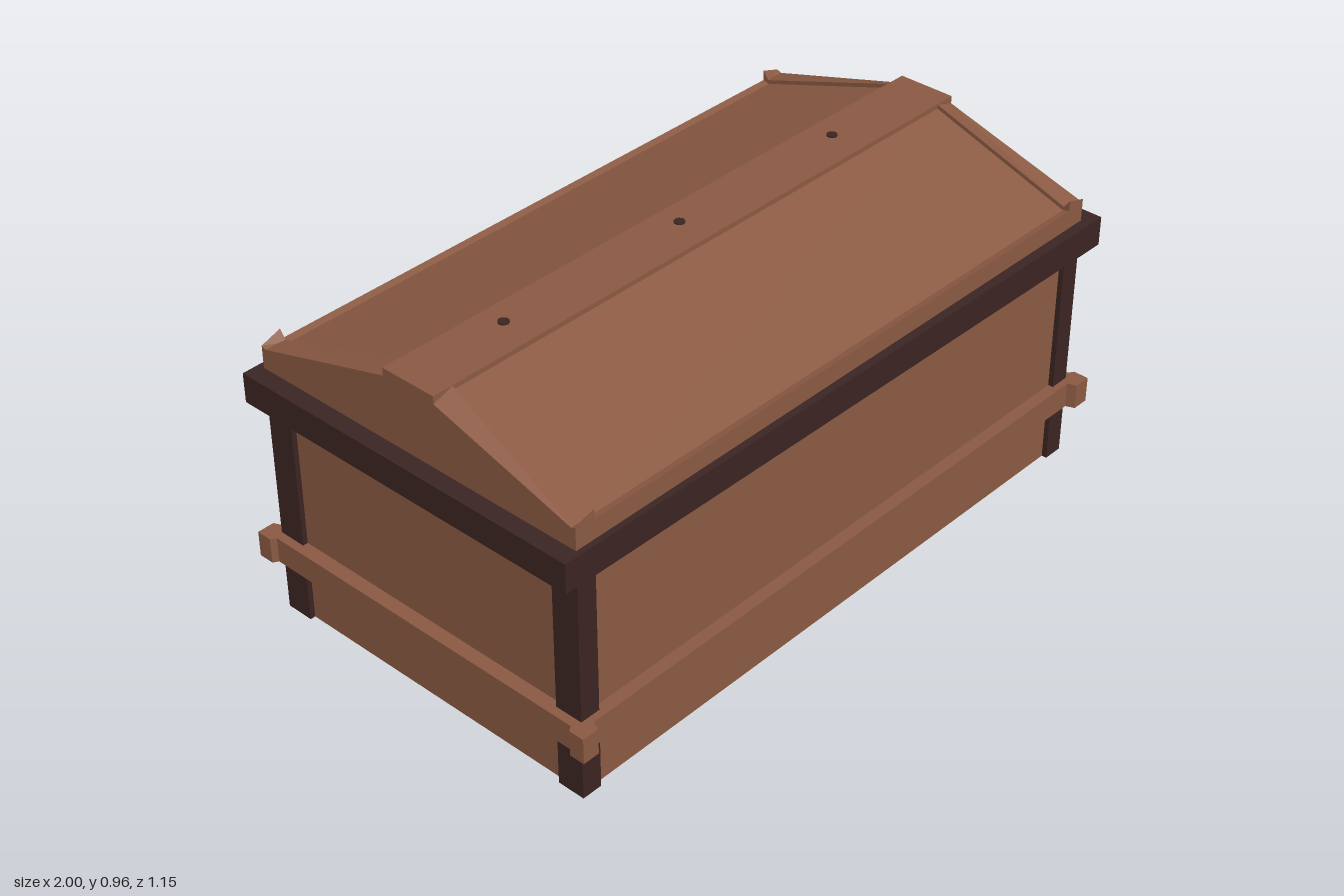
import * as THREE from 'three';

const wood = new THREE.MeshStandardMaterial({ color: 0x8b5a43, roughness: 0.9 });
const dark = new THREE.MeshStandardMaterial({ color: 0x3b2523, roughness: 0.9 });

export function createModel() {
  const root = new THREE.Group();
  const add = (name, geo, mat, x = 0, y = 0, z = 0) => {
    const m = new THREE.Mesh(geo, mat);
    m.name = name;
    m.position.set(x, y, z);
    root.add(m);
    return m;
  };
  // box given by its min and max corners
  const box = (name, mat, [x0, y0, z0], [x1, y1, z1]) =>
    add(name, new THREE.BoxGeometry(x1 - x0, y1 - y0, z1 - z0), mat, (x0 + x1) / 2, (y0 + y1) / 2, (z0 + z1) / 2);
  const toShape = pts => new THREE.Shape(pts.map(p => new THREE.Vector2(...p)));
  // cross-section in (z, y), extruded along x from x0 to x1
  const alongX = (pts, x0, x1) => new THREE.ExtrudeGeometry(toShape(pts), { depth: x1 - x0, bevelEnabled: false })
    .rotateY(Math.PI / 2).translate(x0, 0, 0);
  // plan outline in (x, z) with a rectangular hole, rising from y0 to y1
  const ring = (pts, hx, hz, y0, y1) => {
    const s = toShape(pts.map(([x, z]) => [x, -z]));
    s.holes.push(toShape([[-hx, -hz], [hx, -hz], [hx, hz], [-hx, hz]]));
    return new THREE.ExtrudeGeometry(s, { depth: y1 - y0, bevelEnabled: false }).rotateX(-Math.PI / 2).translate(0, y0, 0);
  };
  const mirrored = half => [...half, ...half.map(([z, y]) => [-z, y]).reverse()];

  // body and corner posts
  box('body', wood, [-0.935, 0, -0.515], [0.935, 0.74, 0.515]);
  for (const sx of [-1, 1]) for (const sz of [-1, 1])
    add('cornerPost', new THREE.BoxGeometry(0.06, 0.7, 0.082), dark, sx * 0.92, 0.35, sz * 0.489);

  // slightly skewed rim under the lid
  add('rim', ring([[-1, 0.545], [1, 0.56], [1, -0.57], [-1, -0.55]], 0.93, 0.51, 0.66, 0.745), dark);

  // lower band, flared at the corners
  const corner = [[0.93, 0.55], [0.94, 0.575], [0.99, 0.575], [0.99, 0.53], [0.975, 0.52]];
  const flip = (sx, sz) => corner.map(([x, z]) => [x * sx, z * sz]);
  const outline = [...flip(1, 1), ...flip(1, -1).reverse(), ...flip(-1, -1), ...flip(-1, 1).reverse()];
  add('lowerBand', ring(outline, 0.93, 0.51, 0.165, 0.24), wood);

  // lid panels and ridge board
  add('lid', alongX(mirrored([[0.53, 0.735], [0.53, 0.8], [0.51, 0.795], [0.085, 0.938]]), -0.9, 0.9), wood);
  box('ridgeBoard', wood, [-0.95, 0.9, -0.085], [0.95, 0.952, 0.085]);

  // end caps, lower at their outer edge, with upturned corners
  for (const s of [-1, 1]) {
    const cap = alongX(mirrored([[0.53, 0.735], [0.53, 0.8], [0.085, 0.95]]), 0.89, 0.95);
    const tip = alongX([[0.53, 0.79], [0.53, 0.83], [0.508, 0.8]], 0.89, 0.95);
    const lower = (geo, from, drop) => {
      const p = geo.attributes.position;
      for (let i = 0; i < p.count; i++)
        if (p.getX(i) > 0.94 && p.getY(i) > from) p.setY(i, p.getY(i) - drop);
      geo.computeVertexNormals();
    };
    lower(cap, 0.9, 0.02);
    lower(tip, 0.81, 0.02);
    const turn = s > 0 ? 0 : Math.PI;
    cap.rotateY(turn);
    add('lidEndCap', cap, wood);
    const tip2 = tip.clone().rotateY(turn);
    add('capTip', tip2, wood);
    // same tip on the opposite side, turned to the other end
    const other = tip.clone().rotateY(turn);
    const p = other.attributes.position, idx = [];
    for (let i = 0; i < p.count; i++) p.setZ(i, -p.getZ(i));
    for (let i = 0; i < p.count; i += 3) idx.push(i, i + 2, i + 1);
    other.setIndex(idx);
    other.computeVertexNormals();
    add('capTip', other, wood);
  }

  // back strap and its hinge plate
  box('backStrap', dark, [-0.09, 0, -0.535], [0.055, 0.66, -0.5]);
  box('hingePlate', dark, [-0.12, 0.45, -0.565], [0.08, 0.67, -0.5]);

  // nails along the ridge, the lid's back edge and the back of the band
  for (const x of [-0.63, -0.02, 0.57]) {
    const nail = () => new THREE.CylinderGeometry(0.015, 0.015, 0.02, 10);
    add('ridgeNail', nail(), dark, x, 0.946, -0.015);
    add('lidNail', nail().rotateX(Math.PI / 2), dark, x, 0.777, -0.524);
    add('bandNail', nail().rotateX(Math.PI / 2), dark, x, 0.203, -0.544);
  }
  return root;
}
